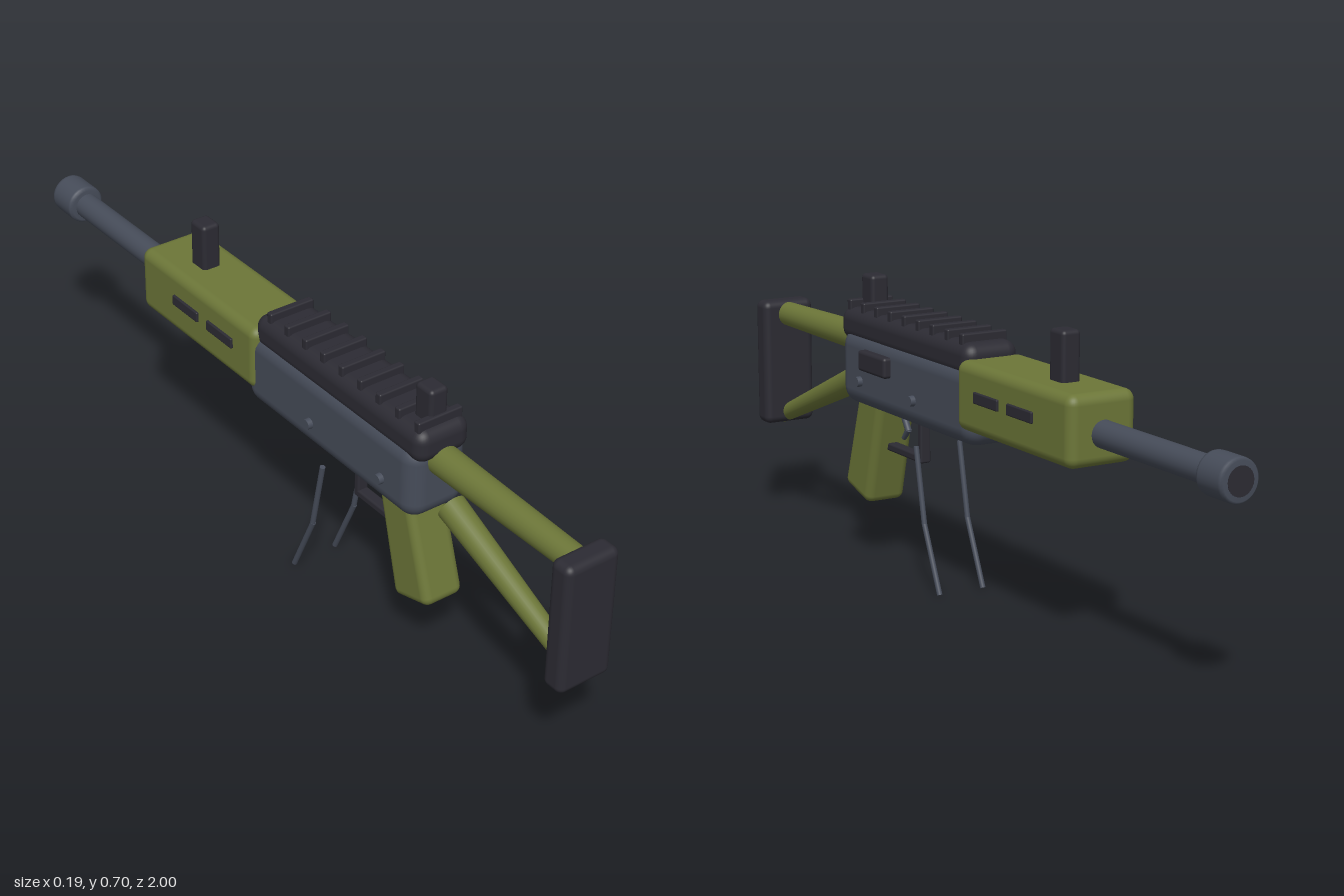
import * as THREE from 'three';
import { RoundedBoxGeometry } from 'three/addons/geometries/RoundedBoxGeometry.js';

const material = (name, color) => {
  const m = new THREE.MeshStandardMaterial({ color });
  m.name = name;
  return m;
};

export function createModel() {
  const black = material('black polymer', 0x2c2b33);
  const steel = material('grey steel', 0x464c59);
  const olive = material('olive furniture', 0x6c7638);

  const model = new THREE.Group();
  model.name = 'rifle';

  const add = (name, geometry, mat, parent = model) => {
    const mesh = new THREE.Mesh(geometry, mat);
    mesh.name = name;
    parent.add(mesh);
    return mesh;
  };
  // Rounded block given by its limits on each axis
  const block = (name, mat, [x0, x1], [y0, y1], [z0, z1], radius, parent) => {
    const g = new RoundedBoxGeometry(x1 - x0, y1 - y0, z1 - z0, 4, radius);
    const mesh = add(name, g, mat, parent);
    mesh.position.set((x0 + x1) / 2, (y0 + y1) / 2, (z0 + z1) / 2);
    return mesh;
  };
  // Round bar between two points, with a radius at each end
  const rod = (name, mat, a, b, ra, rb = ra, parent = model) => {
    const from = new THREE.Vector3(...a), to = new THREE.Vector3(...b);
    const dir = to.clone().sub(from);
    const mesh = add(name, new THREE.CylinderGeometry(rb, ra, dir.length(), 24), mat, parent);
    mesh.position.copy(from).add(to).multiplyScalar(0.5);
    mesh.quaternion.setFromUnitVectors(new THREE.Vector3(0, 1, 0), dir.normalize());
    return mesh;
  };
  const group = (name) => {
    const g = new THREE.Group();
    g.name = name;
    model.add(g);
    return g;
  };

  // Main bodies
  block('receiver', steel, [-0.079, 0.079], [0.388, 0.575], [-0.105, 0.515], 0.042);
  block('handguard', olive, [-0.086, 0.086], [0.428, 0.589], [-0.524, -0.053], 0.024);

  // Top rail with cross ribs
  const rail = group('topRail');
  block('railBase', black, [-0.071, 0.071], [0.54, 0.622], [-0.08, 0.528], 0.03, rail);
  for (let i = 0; i < 9; i++) {
    const z = -0.033 + i * 0.0665;
    block('railRib', black, [-0.059, 0.059], [0.612, 0.641], [z - 0.009, z + 0.009], 0.004, rail);
  }

  // Sights
  block('rearSight', black, [-0.024, 0.024], [0.6, 0.702], [0.446, 0.502], 0.01);
  block('frontSight', black, [-0.024, 0.024], [0.57, 0.702], [-0.4, -0.344], 0.01);

  // Barrel and muzzle
  rod('barrel', steel, [0, 0.5, -0.5], [0, 0.5, -0.95], 0.031);
  const profile = [[0, 0], [0.04, 0], [0.047, 0.006], [0.048, 0.012], [0.048, 0.077], [0.047, 0.084], [0.042, 0.089], [0, 0.089]];
  const muzzle = add('muzzle', new THREE.LatheGeometry(profile.map((p) => new THREE.Vector2(...p)), 32), steel);
  muzzle.rotation.x = -Math.PI / 2;
  muzzle.position.set(0, 0.5, -0.91);
  rod('bore', black, [0, 0.5, -0.98], [0, 0.5, -1], 0.032);

  // Handguard vents and receiver pins on both sides
  for (const side of [-1, 1]) {
    for (const z of [-0.19, -0.33]) {
      const vent = block('vent', black, [-0.007, 0.007], [0.504, 0.53], [z - 0.051, z + 0.051], 0.003);
      vent.position.x = side * 0.085;
    }
    for (const z of [0.15, 0.408]) {
      rod('pin', steel, [side * 0.06, 0.455, z], [side * 0.091, 0.455, z], 0.014, 0.012);
    }
  }
  block('ejectionPort', black, [0.065, 0.098], [0.488, 0.538], [0.257, 0.387], 0.008);

  // Stock: upper tube, lower brace and butt plate
  rod('upperStockTube', olive, [0, 0.535, 0.5], [0, 0.531, 0.985], 0.037, 0.03);
  rod('lowerStockBrace', olive, [0, 0.432, 0.553], [0, 0.257, 0.982], 0.034, 0.021);
  block('buttPlate', black, [-0.07, 0.07], [0.243, 0.567], [0.941, 1], 0.018);

  // Pistol grip, slightly wider at the foot
  const gripShape = new RoundedBoxGeometry(0.106, 0.28, 0.12, 4, 0.02);
  const pos = gripShape.attributes.position;
  for (let i = 0; i < pos.count; i++) pos.setZ(i, pos.getZ(i) * (0.96 - 0.6 * pos.getY(i)));
  const grip = add('grip', gripShape, olive);
  grip.position.set(0, 0.29, 0.45);
  grip.rotation.x = -0.28;

  // Trigger and guard
  const trigger = group('triggerUnit');
  block('guardBar', black, [-0.014, 0.014], [0.279, 0.298], [0.229, 0.42], 0.005, trigger);
  block('guardPost', black, [-0.014, 0.014], [0.279, 0.41], [0.229, 0.246], 0.005, trigger);
  rod('triggerUpper', steel, [0, 0.4, 0.35], [0, 0.341, 0.312], 0.008, 0.008, trigger);
  rod('triggerLower', steel, [0, 0.346, 0.312], [0, 0.32, 0.335], 0.008, 0.006, trigger);

  // Bent bipod legs
  for (const x of [-0.059, 0.059]) {
    const leg = group('bipodLeg');
    rod('upperLeg', steel, [x, 0.34, 0.172], [x, 0.16, 0.135], 0.0065, 0.0065, leg);
    rod('lowerLeg', steel, [x, 0.164, 0.137], [x, 0.003, 0.064], 0.0065, 0.0065, leg);
  }

  model.position.x = -0.004;
  return model;
}
